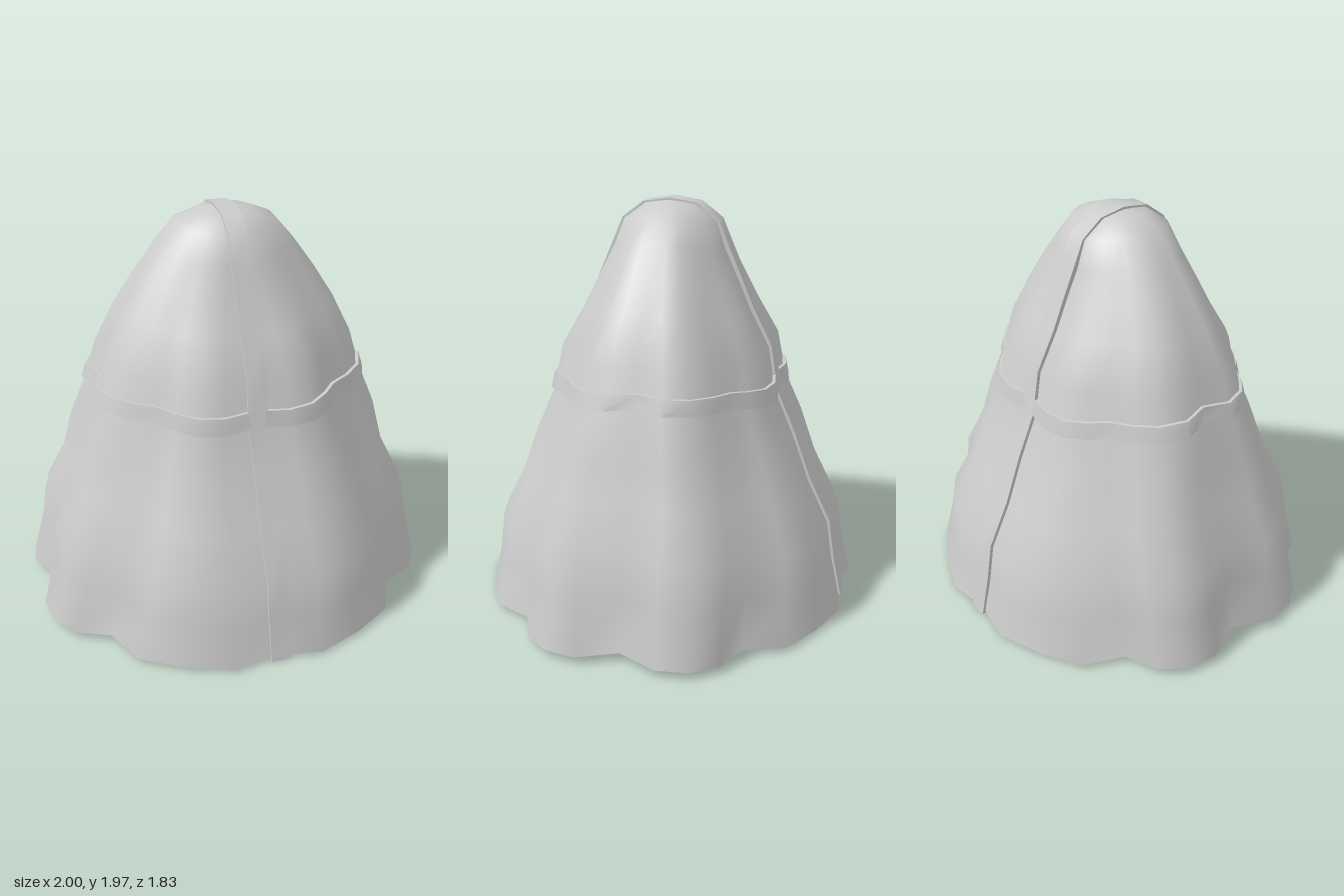
import * as THREE from 'three';
import { toCreasedNormals } from 'three/addons/utils/BufferGeometryUtils.js';

const material = new THREE.MeshStandardMaterial({ color: 0xcccccc, side: THREE.DoubleSide });

// Quarter outlines [x, z] of the scalloped folds, from front centre to side centre
const HEM = [[0, 0.88], [0.22, 0.915], [0.45, 0.83], [0.64, 0.72], [0.73, 0.53], [0.89, 0.46], [0.975, 0.34], [1, 0.19], [0.915, 0]]
  .map(([x, z]) => [x, z / 0.915]);
const WAIST = [[0, 0.51], [0.155, 0.535], [0.27, 0.515], [0.36, 0.45], [0.42, 0.385], [0.52, 0.33], [0.61, 0.25], [0.66, 0.13], [0.615, 0]]
  .map(([x, z]) => [x / 0.66, z / 0.535]);
const ROUND = HEM.map((_, i) => [Math.sin(i * Math.PI / 16), Math.cos(i * Math.PI / 16)]);

// Levels: [y at front, y at side, x radius, z radius, fold blend 0 hem - 1 waist - 2 round]
const LEVELS = [
  [0.01, 0.04, 1, 0.915, 0], [0.2, 0.3, 0.94, 0.87, 0.2], [0.39, 0.5, 0.91, 0.84, 0.4],
  [0.61, 0.7, 0.81, 0.73, 0.6], [0.85, 0.91, 0.76, 0.64, 0.8], [1.06, 1.12, 0.675, 0.545, 1],
  [1.28, 1.31, 0.62, 0.505, 1.1], [1.46, 1.5, 0.53, 0.405, 1.25], [1.6, 1.66, 0.43, 0.34, 1.45],
  [1.75, 1.8, 0.33, 0.27, 1.65], [1.87, 1.91, 0.235, 0.23, 1.9], [1.945, 1.955, 0.12, 0.13, 2],
  [1.965, 1.965, 0, 0, 2],
];
const COLUMNS = 32;
const lerp = THREE.MathUtils.lerp;

// Point on the cloth at a (fractional) level and column, pushed outward by offset
function surfacePoint(level, column, offset = 0) {
  const i = Math.min(Math.floor(level), LEVELS.length - 2);
  const [yFront, ySide, rx, rz, blend] = LEVELS[i].map((v, k) => lerp(v, LEVELS[i + 1][k], level - i));
  const c = column % COLUMNS;
  const half = c <= 16 ? c : COLUMNS - c;
  const q = half <= 8 ? half : 16 - half;
  const [a, b] = blend < 1 ? [HEM[q], WAIST[q]] : [WAIST[q], ROUND[q]];
  const t = blend < 1 ? blend : blend - 1;
  const x = lerp(a[0], b[0], t), z = lerp(a[1], b[1], t);
  const sx = c <= 16 ? 1 : -1, sz = half <= 8 ? 1 : -1;
  const y = lerp(yFront, ySide, 1 - z * z);
  const p = new THREE.Vector3(sx * x * rx, y, sz * z * rz);
  const out = new THREE.Vector3(p.x, 0, p.z).normalize();
  return p.addScaledVector(out, offset);
}

// Skin a list of closed rings; optionally cap both ends of four-cornered rings
function loft(rings, cap = false) {
  const n = rings[0].length, index = [];
  for (let i = 0; i < rings.length - 1; i++) {
    for (let j = 0; j < n; j++) {
      const a = i * n + j, b = i * n + (j + 1) % n;
      index.push(a, b, b + n, a, b + n, a + n);
    }
  }
  if (cap) {
    const e = (rings.length - 1) * n;
    index.push(0, 2, 1, 0, 3, 2, e, e + 1, e + 2, e, e + 2, e + 3);
  }
  const geometry = new THREE.BufferGeometry().setFromPoints(rings.flat());
  geometry.setIndex(index);
  geometry.computeVertexNormals();
  return geometry;
}

const ringAt = (level, offset) => Array.from({ length: COLUMNS }, (_, c) => surfacePoint(level, c, offset));

function addMesh(group, name, geometry) {
  const mesh = new THREE.Mesh(geometry, material);
  mesh.name = name;
  group.add(mesh);
}

export function createModel() {
  const group = new THREE.Group();
  group.name = 'drapedCover';

  // Folded cloth, open at the hem
  addMesh(group, 'cloth', loft(LEVELS.map((_, i) => ringAt(i, 0))));

  // Raised band around the middle
  const low = 5, high = 5.36;
  const band = [[low, 0.018], [high, 0.016], [high, -0.012], [low, -0.012], [low, 0.018]];
  addMesh(group, 'waistBand', toCreasedNormals(loft(band.map(([l, o]) => ringAt(l, o))), 0.7));

  // Seam strip running from the front hem over the top to the back hem
  const front = LEVELS.map((_, i) => surfacePoint(i, 0));
  front[0].y = 0;
  const back = front.slice(0, -1).reverse().map((p) => new THREE.Vector3(0, p.y, -p.z));
  const path = [...front, ...back];
  const strip = path.map((p, i) => {
    const along = path[Math.min(i + 1, path.length - 1)].clone().sub(path[Math.max(i - 1, 0)]);
    const normal = new THREE.Vector3(0, -along.z, along.y).normalize();
    if (p.y === 0) normal.set(0, 0, Math.sign(p.z));
    const shift = 0.013 * (1 - p.y / 1.965);
    const corner = (x, o) => new THREE.Vector3(x + shift, p.y, p.z).addScaledVector(normal, o);
    const outer = p.y > 1.8 ? 0.009 : 0.022;
    return [corner(-0.048, outer), corner(0.048, outer), corner(0.048, -0.018), corner(-0.048, -0.018)];
  });
  addMesh(group, 'seamStrip', toCreasedNormals(loft(strip, true), 0.7));

  return group;
}
